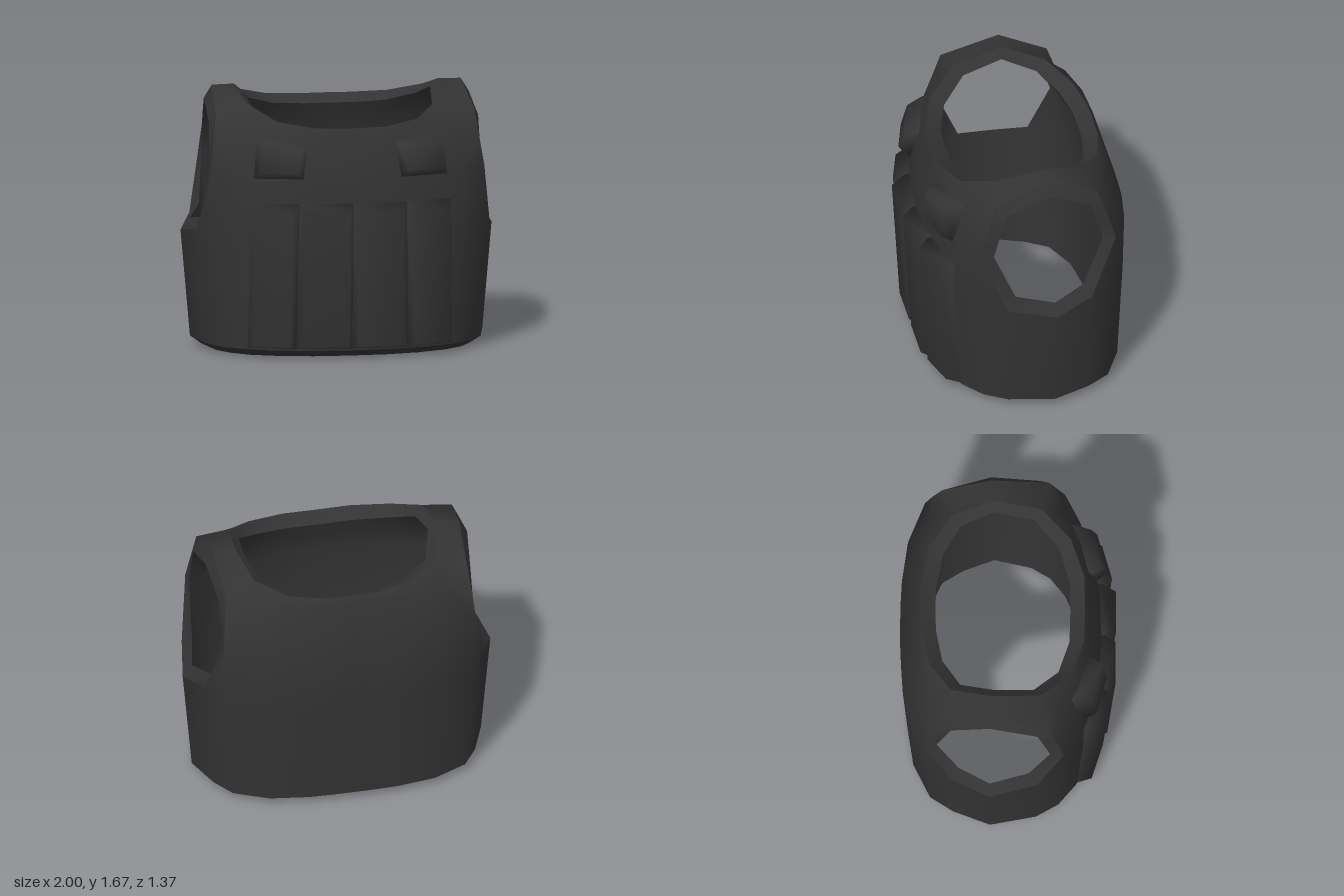
import * as THREE from 'three';
import { mergeVertices } from 'three/addons/utils/BufferGeometryUtils.js';

const material = new THREE.MeshStandardMaterial({ color: 0x333333 });

// Collects faces and their mirror images across x = 0, smoothed within one mesh
function surface() {
  const pos = [];
  const tri = (...pts) => {
    pts.forEach(p => pos.push(...p));
    [...pts].reverse().forEach(([x, y, z]) => pos.push(x === 0 ? 0 : -x, y, z));
  };
  return {
    tri,
    quad(a, b, c, d) { tri(a, b, c); tri(a, c, d); },
    mesh(name) {
      const raw = new THREE.BufferGeometry();
      raw.setAttribute('position', new THREE.Float32BufferAttribute(pos, 3));
      const g = mergeVertices(raw, 1e-4);
      g.computeVertexNormals();
      const m = new THREE.Mesh(g, material);
      m.name = name;
      return m;
    }
  };
}

// Half outline of the waist [x, z], from front centre round to back centre
const waist = [[0, .605], [.27, .592], [.5, .545], [.71, .455], [.87, .345], [.94, .19], [1, -.115],
  [.905, -.36], [.82, -.525], [.57, -.627], [.31, -.666], [.15, -.672], [0, -.673]];
const sideY = { 5: .79, 6: .735, 7: .8 };
const hemCorner = { 4: .98, 8: .98 };

// Rows of points from hem to neck; gaps (null) are the armhole
const gap = [null, null, null];
const rows = [
  waist.map(([x, z], j) => [x * .94 * (hemCorner[j] ?? 1), .05, z * .955 * (hemCorner[j] ?? 1)]),
  waist.map(([x, z], j) => [x, sideY[j] ?? .75, z]),
  [[0, 1.16, .585], [.26, 1.16, .575], [.49, 1.16, .53], [.7, 1.17, .455], [.88, 1.18, .36], ...gap,
    [.82, 1.18, -.53], [.57, 1.14, -.637], [.31, 1.12, -.675], [.15, 1.11, -.683], [0, 1.11, -.685]],
  [[0, 1.41, .515], [.25, 1.41, .51], [.49, 1.42, .45], [.7, 1.44, .35], [.855, 1.36, .31], ...gap,
    [.805, 1.35, -.48], [.6, 1.47, -.5], [.39, 1.46, -.565], [.16, 1.46, -.583], [0, 1.46, -.585]],
  [[0, 1.465, .49], [.22, 1.47, .485], [.46, 1.505, .4], [.63, 1.6, .21], [.83, 1.54, .26], ...gap,
    [.785, 1.52, -.42], [.59, 1.59, -.36], [.39, 1.53, -.5], [.16, 1.515, -.55], [0, 1.515, -.555]]
];
const shoulderNeck = [.66, 1.67, -.1];
const shoulderArm = [.8, 1.665, -.11];

// Opening edges
const hemLoop = rows[0];
const neckLoop = [...rows[4].slice(0, 4), shoulderNeck, ...rows[4].slice(9)];
const armLoop = [rows[1][5], rows[1][6], rows[1][7], rows[2][8], rows[3][8], rows[4][8], shoulderArm,
  rows[4][4], rows[3][4], rows[2][4]];

// Matching point on the lining
function inner(p) {
  const [x, y, z] = p;
  if (neckLoop.includes(p)) return [x * .91, y - .05, (z + .03) * .82 - .03];
  // the armhole band lies nearly flat in the sloping side of the vest
  if (armLoop.includes(p)) {
    return [x + .05 - .12 * (1.66 - y), 1.185 + (y - 1.185) * .83, -.1 + (z + .1) * .81];
  }
  const n = new THREE.Vector2(x, z / .49).normalize();
  const drop = hemLoop.includes(p) ? .05 : rows[3].includes(p) ? .08 : 0;
  return [x - .075 * n.x, y - drop, z - .09 * n.y];
}

// One skin of the vest, outer or lining
function skin(name, map, flip) {
  const s = surface();
  const face = (...pts) => {
    const q = pts.map(map);
    if (flip) q.reverse();
    q.length === 3 ? s.tri(...q) : s.quad(...q);
  };
  for (let r = 0; r < 4; r++) {
    for (let j = 0; j < 12; j++) {
      const q = [rows[r][j], rows[r][j + 1], rows[r + 1][j + 1], rows[r + 1][j]].filter(Boolean);
      if (q.length > 2) face(...q);
    }
  }
  face(rows[4][3], rows[4][4], shoulderArm, shoulderNeck);
  face(shoulderNeck, shoulderArm, rows[4][8], rows[4][9]);
  return s.mesh(name);
}

// Band joining the outer skin to the lining around an opening
function rim(name, loop, { closed = false, below = false } = {}) {
  const s = surface();
  for (let i = 0; i < loop.length - (closed ? 0 : 1); i++) {
    const a = loop[i], b = loop[(i + 1) % loop.length];
    if (below) s.quad(inner(a), inner(b), b, a);
    else s.quad(a, b, inner(b), inner(a));
  }
  return s.mesh(name);
}

// Soft tapered pouches with sides rooted in the shell;
// corners run bottom left, bottom right, top right, top left
function pouches(name, base, front) {
  const s = surface();
  const root = base.map(([x, y, z]) => [x, y, z - .04]);
  s.quad(...front);
  for (let i = 0; i < 4; i++) {
    const k = (i + 1) % 4;
    s.quad(base[i], base[k], front[k], front[i]);
    s.quad(root[i], root[k], base[k], base[i]);
  }
  return s.mesh(name);
}

export function createModel() {
  const vest = new THREE.Group();
  vest.name = 'vest';
  vest.add(
    skin('outerShell', p => p, false),
    skin('lining', inner, true),
    rim('hemRim', hemLoop, { below: true }),
    rim('neckRim', neckLoop),
    rim('armholeRims', armLoop, { closed: true }),
    pouches('innerPouches',
      [[.002, .06, .58], [.36, .06, .56], [.345, 1, .595], [.002, 1, .615]],
      [[.035, .085, .632], [.325, .085, .632], [.31, .955, .685], [.03, .955, .685]]),
    pouches('outerPouches',
      [[.36, .06, .56], [.655, .06, .445], [.64, 1, .505], [.345, 1, .595]],
      [[.41, .085, .605], [.635, .085, .535], [.62, .955, .595], [.395, .955, .66]]),
    pouches('chestPouches',
      [[.315, 1.16, .575], [.62, 1.16, .495], [.59, 1.415, .43], [.285, 1.375, .525]],
      [[.36, 1.215, .632], [.605, 1.2, .565], [.575, 1.37, .53], [.32, 1.35, .6]])
  );
  return vest;
}
